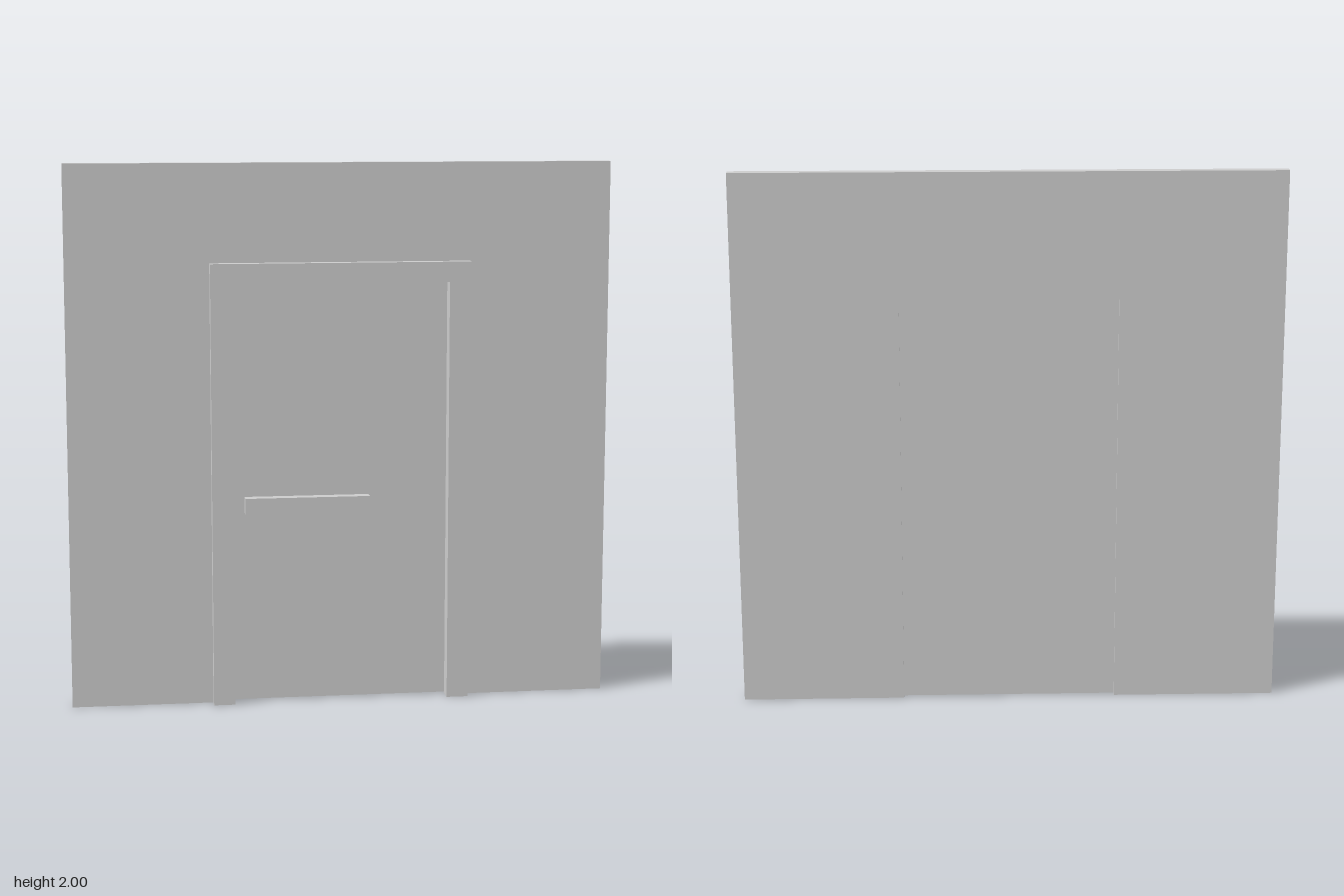
import * as THREE from 'three';

const material = new THREE.MeshStandardMaterial({ color: 0xcccccc, flatShading: true });

// Upside-down U: a panel with a doorway open at the floor
function archPanel(name, halfWidth, height, openHalf, openHeight, z0, z1) {
  const shape = new THREE.Shape([
    [-halfWidth, 0], [-openHalf, 0], [-openHalf, openHeight], [openHalf, openHeight],
    [openHalf, 0], [halfWidth, 0], [halfWidth, height], [-halfWidth, height],
  ].map(([x, y]) => new THREE.Vector2(x, y)));
  const geometry = new THREE.ExtrudeGeometry(shape, { depth: z1 - z0, bevelEnabled: false });
  geometry.translate(0, 0, z0);
  const mesh = new THREE.Mesh(geometry, material);
  mesh.name = name;
  return mesh;
}

// Box given by its minimum and maximum corners
function block(name, [x0, y0, z0], [x1, y1, z1]) {
  const mesh = new THREE.Mesh(new THREE.BoxGeometry(x1 - x0, y1 - y0, z1 - z0), material);
  mesh.position.set((x0 + x1) / 2, (y0 + y1) / 2, (z0 + z1) / 2);
  mesh.name = name;
  return mesh;
}

export function createModel() {
  const group = new THREE.Group();
  group.name = 'doorway';
  const openHalf = 0.398, openHeight = 1.565;

  group.add(
    archPanel('wall', 1, 2, openHalf, openHeight, -0.042, 0),
    archPanel('doorFrame', 0.478, 1.64, openHalf, openHeight, 0, 0.04),
    // Door leaf, set back in the opening with a hairline gap at the floor
    block('door', [-openHalf, 0.005, -0.032], [openHalf, openHeight, -0.016]),
    // Push bar across the door
    block('pushBar', [-0.355, 0.715, -0.016], [0.107, 0.775, 0.024]),
  );
  return group;
}
